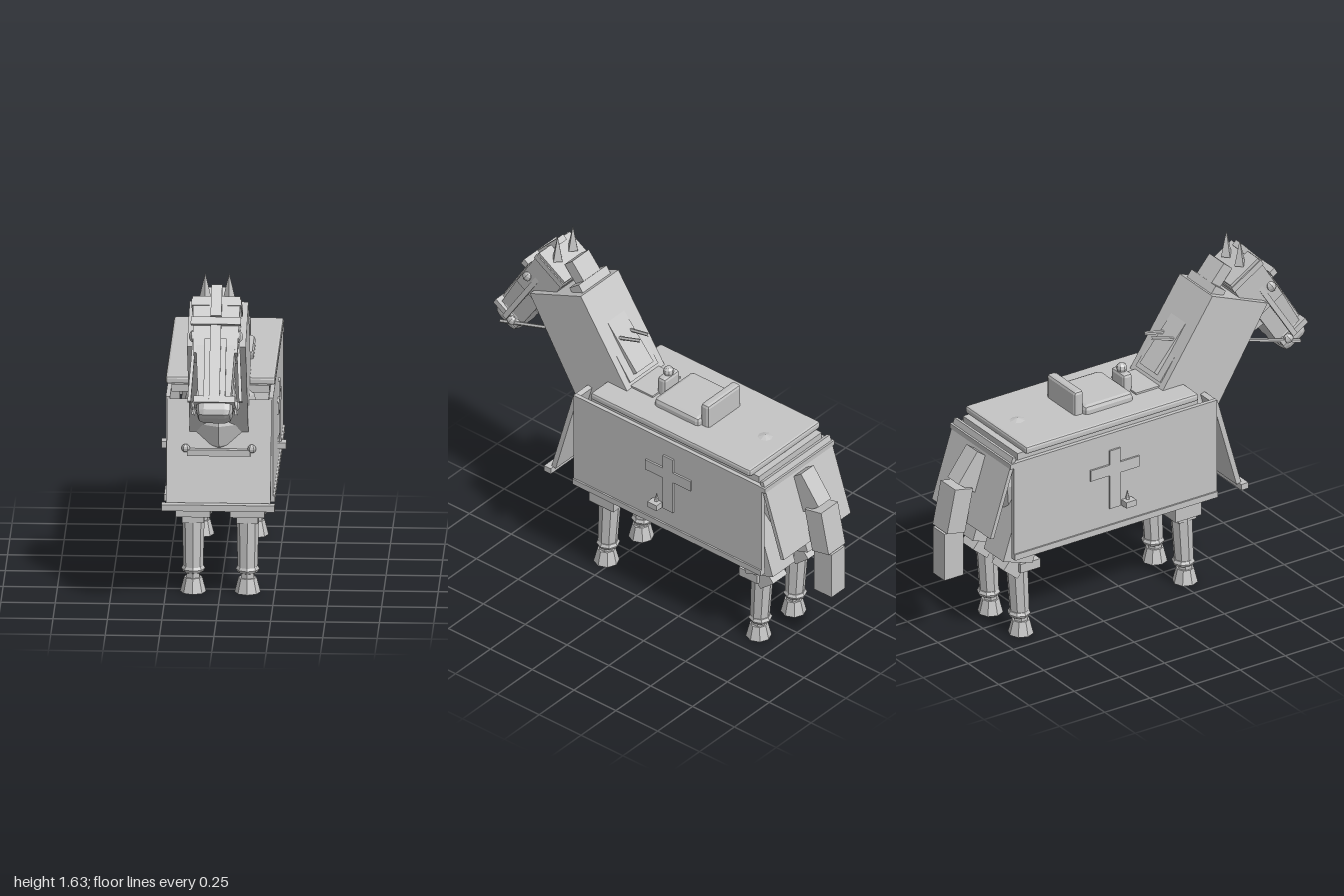
import * as THREE from 'three';
import { RoundedBoxGeometry } from 'three/addons/geometries/RoundedBoxGeometry.js';

export function createModel() {
  const root = new THREE.Group();
  root.name = 'armouredHorse';
  const grey = new THREE.MeshStandardMaterial({ color: 0xc4c4c4 });
  grey.name = 'plain grey';
  grey.flatShading = true;

  const add = (name, geo, x, y, z, rx = 0, parent = root) => {
    const m = new THREE.Mesh(geo, grey);
    m.name = name;
    m.position.set(x, y, z);
    m.rotation.x = rx;
    parent.add(m);
    return m;
  };
  const box = (name, w, h, d, x, y, z, rx, parent) =>
    add(name, new THREE.BoxGeometry(w, h, d), x, y, z, rx, parent);
  const soft = (name, w, h, d, x, y, z, rx, parent) =>
    add(name, new RoundedBoxGeometry(w, h, d, 1, Math.min(w, h, d) * 0.3), x, y, z, rx, parent);
  const ball = (name, rx, ry, rz, x, y, z, parent = root, n = 8) => {
    const g = new THREE.SphereGeometry(1, n, 6);
    g.scale(rx, ry, rz);
    return add(name, g, x, y, z, 0, parent);
  };
  // Box whose long axis runs between two points [z, y] of the side plane
  const limb = (name, w, d, x, [z0, y0], [z1, y1]) =>
    box(name, w, Math.hypot(z1 - z0, y1 - y0), d, x, (y0 + y1) / 2, (z0 + z1) / 2,
      Math.atan2(z1 - z0, y1 - y0));
  // Box narrowed at its lower end
  const taper = (w, h, d, kx, kz) => {
    const g = new THREE.BoxGeometry(w, h, d);
    const p = g.attributes.position;
    for (let i = 0; i < p.count; i++) {
      if (p.getY(i) < 0) { p.setX(i, p.getX(i) * kx); p.setZ(i, p.getZ(i) * kz); }
    }
    g.computeVertexNormals();
    return g;
  };

  // Body
  const barrel = new THREE.CylinderGeometry(0.2, 0.2, 0.8, 8);
  barrel.rotateX(Math.PI / 2);
  add('barrel', barrel, 0, 0.77, -0.14);
  ball('chest', 0.18, 0.2, 0.21, 0, 0.85, 0.28);
  ball('rump', 0.21, 0.25, 0.22, 0, 0.787, -0.56);

  // Neck, extruded across x from its side outline
  const outline = [[0.735, 1.31], [0.43, 1.435], [0.13, 0.99], [0.38, 0.73]];
  const neck = new THREE.ExtrudeGeometry(
    new THREE.Shape(outline.map(([z, y]) => new THREE.Vector2(-z, y))),
    { depth: 0.27, bevelEnabled: false });
  neck.translate(0, 0, -0.135);
  neck.rotateY(Math.PI / 2);
  add('neck', neck, 0, 0, 0);
  limb('mane', 0.12, 0.06, 0, [0.18, 1.065], [0.567, 1.52]);
  limb('maneBase', 0.2, 0.07, 0, [0.19, 1.03], [0.5, 1.44]);

  // Head, tilted so its nose points forward and down
  const head = new THREE.Group();
  head.name = 'head';
  head.position.set(0, 1.4, 0.67);
  head.rotation.x = -0.56;
  root.add(head);
  add('skull', taper(0.22, 0.27, 0.18, 0.92, 1), 0, -0.03, 0.01, 0, head);
  add('nose', taper(0.18, 0.27, 0.16, 0.82, 0.88), 0, -0.265, 0.025, 0, head);
  box('noseRidge', 0.1, 0.28, 0.03, 0, -0.24, 0.1, 0, head);
  add('muzzle', new RoundedBoxGeometry(0.165, 0.12, 0.15, 1, 0.035), 0, -0.41, 0.03, 0, head);
  box('jaw', 0.14, 0.14, 0.08, 0, -0.17, -0.055, 0.15, head);
  box('forelock', 0.05, 0.16, 0.03, 0, 0.08, 0.1, -0.2, head);
  box('browband', 0.23, 0.035, 0.03, 0, -0.02, 0.12, 0, head);
  box('noseband', 0.19, 0.03, 0.16, 0, -0.39, 0.04, 0, head);
  box('faceStrap', 0.05, 0.36, 0.012, 0, -0.21, 0.118, 0, head);
  box('crownStrap', 0.23, 0.03, 0.19, 0, 0.075, 0.01, 0, head);

  for (const s of [1, -1]) {
    ball('eye', 0.025, 0.03, 0.025, s * 0.1, -0.08, 0.075, head, 6);
    box('cheekStrap', 0.015, 0.44, 0.025, s * 0.105, -0.16, 0.03, 0, head).rotation.z = s * 0.06;
    ball('bitRing', 0.02, 0.025, 0.025, s * 0.095, -0.39, 0.0, head, 6);
    add('ear', new THREE.ConeGeometry(0.03, 0.13, 4), s * 0.055, 1.57, 0.635);

    // Reins pass straight through the neck
    const rein = new THREE.LineCurve3(
      new THREE.Vector3(s * 0.1, 1.04, 0.94), new THREE.Vector3(s * 0.03, 1.25, 0.16));
    add('rein', new THREE.TubeGeometry(rein, 1, 0.009, 5), 0, 0, 0);

    // Side armour with raised cross, hem and stirrup
    box('sidePanel', 0.02, 0.5, 1.125, s * 0.237, 0.71, -0.182);
    box('sideHem', 0.03, 0.03, 1.125, s * 0.24, 0.475, -0.182);
    box('crossUpright', 0.012, 0.3, 0.06, s * 0.25, 0.725, -0.19);
    box('crossArm', 0.012, 0.055, 0.27, s * 0.25, 0.775, -0.19);
    box('stirrup', 0.05, 0.03, 0.055, s * 0.262, 0.585, -0.122);
    add('stirrupPeak', new THREE.ConeGeometry(0.012, 0.05, 5), s * 0.255, 0.62, -0.122);

    // Legs
    for (const [name, z] of [['front', 0.285], ['hind', -0.625]]) {
      const x = s * 0.125;
      add(name + 'Hoof', new THREE.CylinderGeometry(0.042, 0.06, 0.07, 8), x, 0.035, z);
      ball(name + 'Fetlock', 0.055, 0.028, 0.055, x, 0.108, z - 0.01);
      add(name + 'Pastern', new THREE.CylinderGeometry(0.035, 0.035, 0.06, 6), x, 0.08, z);
    }
    const x = s * 0.125;
    const shin = () => new THREE.CylinderGeometry(0.052, 0.046, 0.27, 8);
    add('frontShin', shin(), x, 0.24, 0.27, -0.06);
    box('frontKnee', 0.1, 0.05, 0.1, x, 0.36, 0.265);
    box('frontUpperLeg', 0.16, 0.36, 0.145, x, 0.545, 0.25);
    add('hindShin', shin(), x, 0.24, -0.64, -0.06);
    box('hindKnee', 0.13, 0.045, 0.11, x, 0.367, -0.615);
    box('hock', 0.1, 0.08, 0.1, x, 0.375, -0.69, 0.7);
    limb('thigh', 0.16, 0.17, x, [-0.695, 0.415], [-0.57, 0.8]);
    ball('breastKnob', 0.02, 0.02, 0.02, s * 0.152, 0.74, 0.465, root, 6);
  }

  // Front and rear armour
  limb('frontPanel', 0.48, 0.025, 0, [0.505, 0.49], [0.375, 0.95]);
  box('frontHem', 0.52, 0.03, 0.04, 0, 0.476, 0.525);
  box('breastBar', 0.29, 0.03, 0.025, 0, 0.72, 0.462);
  limb('rearPanel', 0.48, 0.02, 0, [-0.862, 0.6], [-0.737, 0.985]);
  box('rearTopTrim', 0.5, 0.025, 0.035, 0, 0.948, -0.748);

  // Blanket and saddle
  box('underBlanket', 0.45, 0.035, 1.0, 0, 0.975, -0.21);
  soft('blanket', 0.505, 0.038, 0.955, 0, 1.007, -0.202);
  box('saddlePad', 0.2, 0.03, 0.2, 0, 1.02, 0.13);
  soft('seat', 0.28, 0.07, 0.27, 0, 1.032, -0.142);
  soft('cantle', 0.235, 0.14, 0.05, 0, 1.075, -0.295);
  soft('pommel', 0.11, 0.11, 0.05, 0, 1.06, 0.018);
  ball('pommelKnob', 0.026, 0.026, 0.026, 0, 1.128, 0.018);

  // Tail
  limb('tailRoot', 0.09, 0.115, 0, [-0.87, 0.78], [-0.765, 0.92]);
  limb('tailMiddle', 0.12, 0.1, 0, [-0.94, 0.575], [-0.895, 0.79]);
  box('tailEnd', 0.095, 0.24, 0.105, 0, 0.46, -0.943);

  return root;
}
